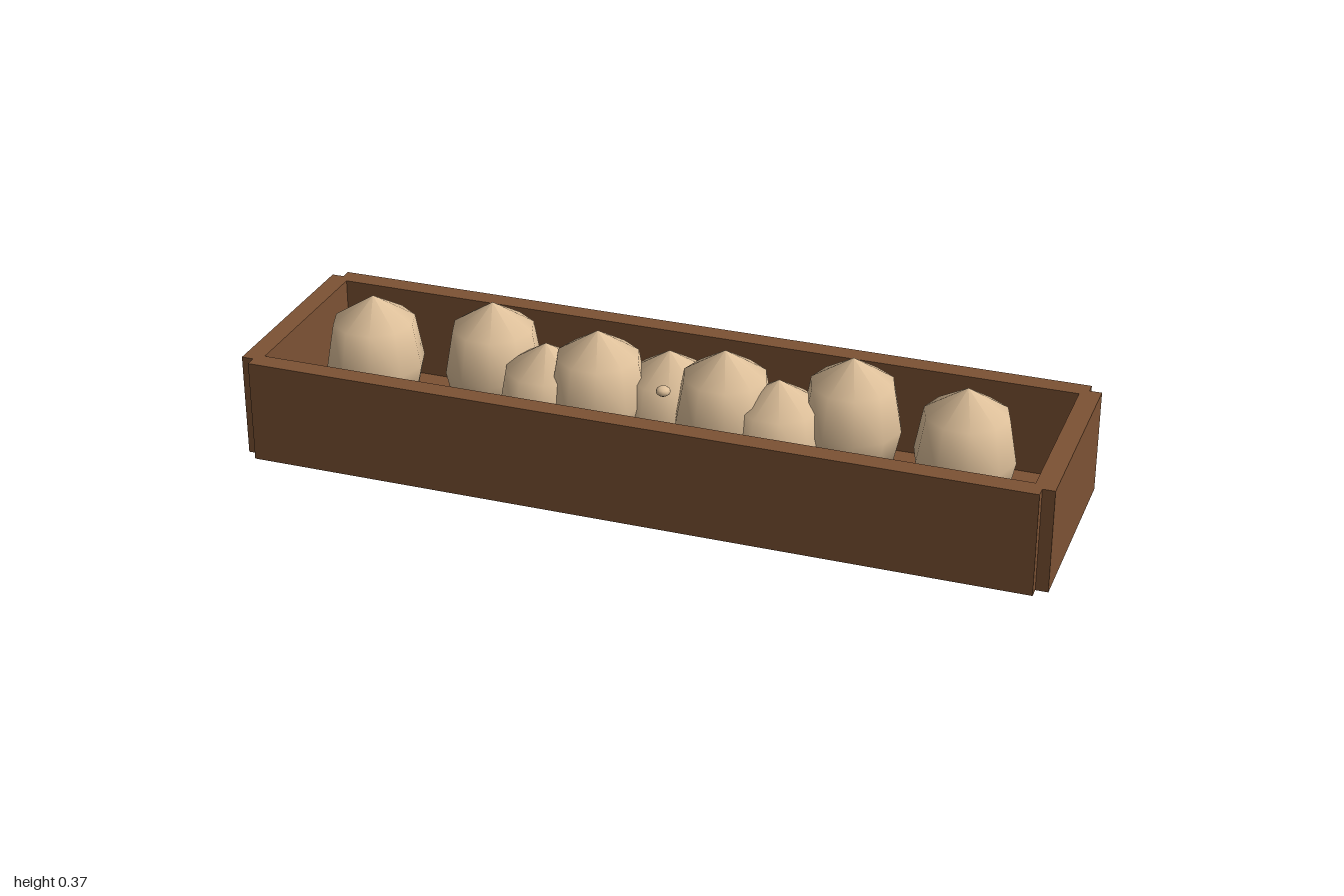
import * as THREE from 'three';

export function createModel() {
  const model = new THREE.Group();
  const wood = new THREE.MeshStandardMaterial({ color: 0x7c5234 });
  wood.name = 'brown wood';
  const tan = new THREE.MeshStandardMaterial({ color: 0xdfc19b });
  tan.name = 'pale tan';

  const add = (name, geometry, material, x, y, z) => {
    const mesh = new THREE.Mesh(geometry, material);
    mesh.name = name;
    mesh.position.set(x, y, z);
    model.add(mesh);
    return mesh;
  };

  // Open crate: floor, long walls and end walls with notched corners
  const height = 0.26;
  add('floor', new THREE.BoxGeometry(1.92, 0.03, 0.48), wood, 0, 0.015, 0);
  const longWall = new THREE.BoxGeometry(1.94, height, 0.05);
  const endWall = new THREE.BoxGeometry(0.05, height, 0.506);
  for (const side of [-1, 1]) {
    add(side > 0 ? 'frontWall' : 'backWall', longWall, wood, 0, height / 2, side * 0.255);
    add(side > 0 ? 'leftEndWall' : 'rightEndWall', endWall, wood, side * 0.975, height / 2, 0);
  }

  // Faceted round lump, measured down from its tip
  const profile = [[0, -0.295], [0.1, -0.275], [0.122, -0.175], [0.102, -0.065], [0, 0]]
    .map(([r, y]) => new THREE.Vector2(r, y));
  const lump = new THREE.LatheGeometry(profile, 10);

  // Upper and lower rows: x, tip height, z
  [
    [-0.75, 0.365, 0.03], [-0.46, 0.365, -0.032], [-0.163, 0.365, 0.03],
    [0.157, 0.365, 0.03], [0.452, 0.365, -0.032], [0.742, 0.365, 0.03],
    [-0.297, 0.31, 0.03], [-0.003, 0.31, -0.032], [0.29, 0.31, 0.03],
  ].forEach(([x, y, z], i) => {
    add(`lump${i + 1}`, lump, tan, x, y, z).rotation.y = Math.PI / 10;
  });

  // Small loose pebble
  add('pebble', new THREE.SphereGeometry(0.018, 10, 6), tan, 0.02, 0.258, 0.08).scale.y = 0.7;

  return model;
}
